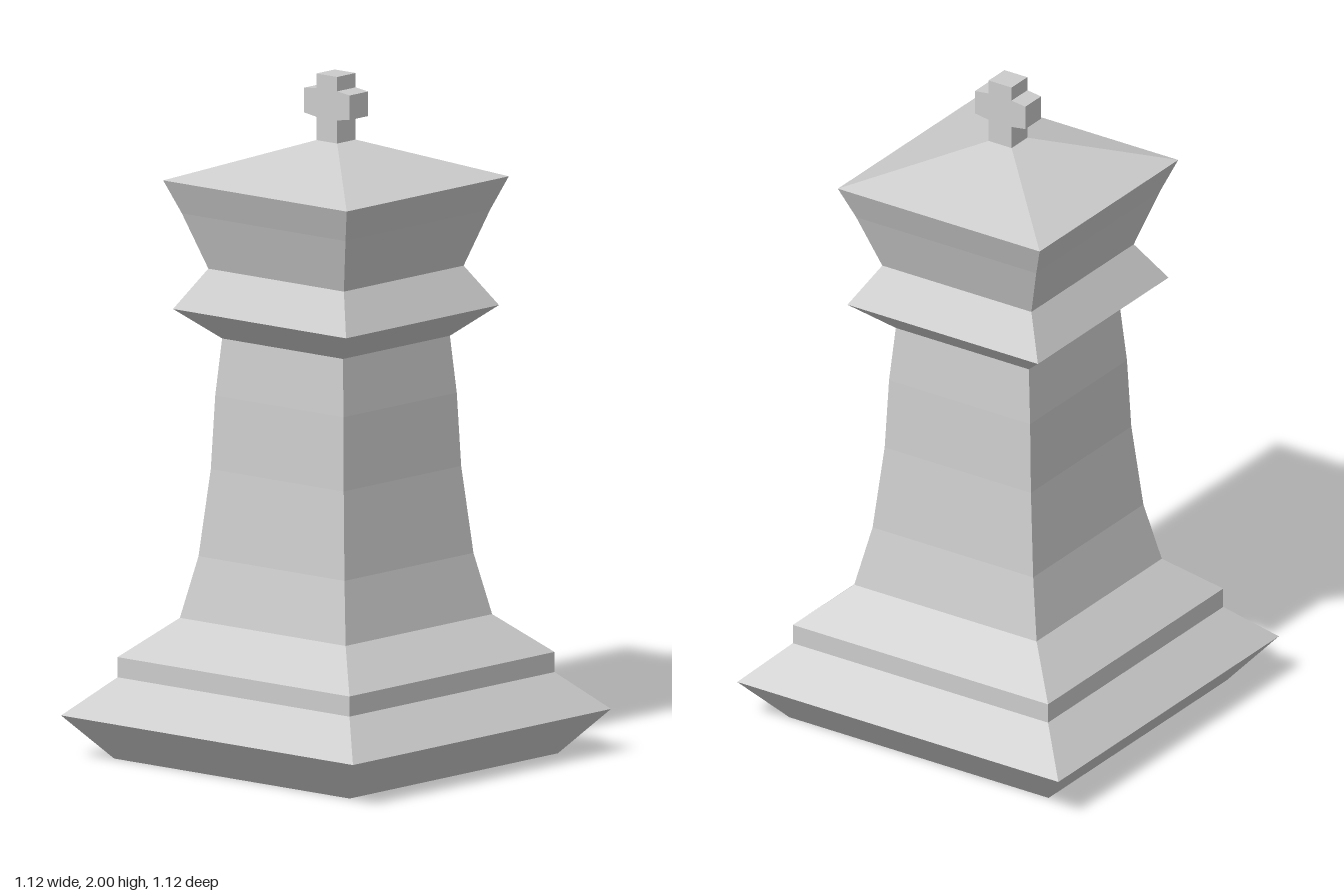
import * as THREE from 'three';

const material = new THREE.MeshStandardMaterial({ color: 0xcccccc, flatShading: true });

// Square turned section: profile is [half width, height] from bottom to top
function squareLathe(name, profile) {
  const points = profile.map(([half, y]) => new THREE.Vector2(half * Math.SQRT2, y));
  const mesh = new THREE.Mesh(new THREE.LatheGeometry(points, 4, Math.PI / 4), material);
  mesh.name = name;
  return mesh;
}

export function createModel() {
  const group = new THREE.Group();
  group.name = 'chessKing';

  // Stepped foot, closed underneath
  group.add(squareLathe('base', [
    [0, 0], [0.452, 0], [0.56, 0.128], [0.445, 0.238], [0.445, 0.297], [0.318, 0.41],
  ]));

  // Gently curved shaft
  group.add(squareLathe('shaft', [
    [0.318, 0.41], [0.28, 0.59], [0.255, 0.845], [0.246, 1.06], [0.232, 1.227],
  ]));

  // Sharp-edged collar
  group.add(squareLathe('collar', [[0.232, 1.227], [0.332, 1.315], [0.26, 1.432]]));

  // Flared head with a pyramid roof
  group.add(squareLathe('head', [
    [0.26, 1.432], [0.314, 1.595], [0.352, 1.692], [0.04, 1.805], [0, 1.805],
  ]));

  // Cross with slightly tapered arms
  const right = [[0.04, 1.8], [0.04, 1.873], [0.088, 1.88], [0.088, 1.952], [0.04, 1.958], [0.04, 2]];
  const left = right.map(([x, y]) => [-x, y]).reverse();
  const outline = new THREE.Shape([...right, ...left].map(([x, y]) => new THREE.Vector2(x, y)));
  const crossGeometry = new THREE.ExtrudeGeometry(outline, { depth: 0.08, bevelEnabled: false });
  crossGeometry.translate(0, 0, -0.04);
  const cross = new THREE.Mesh(crossGeometry, material);
  cross.name = 'cross';
  group.add(cross);

  return group;
}
